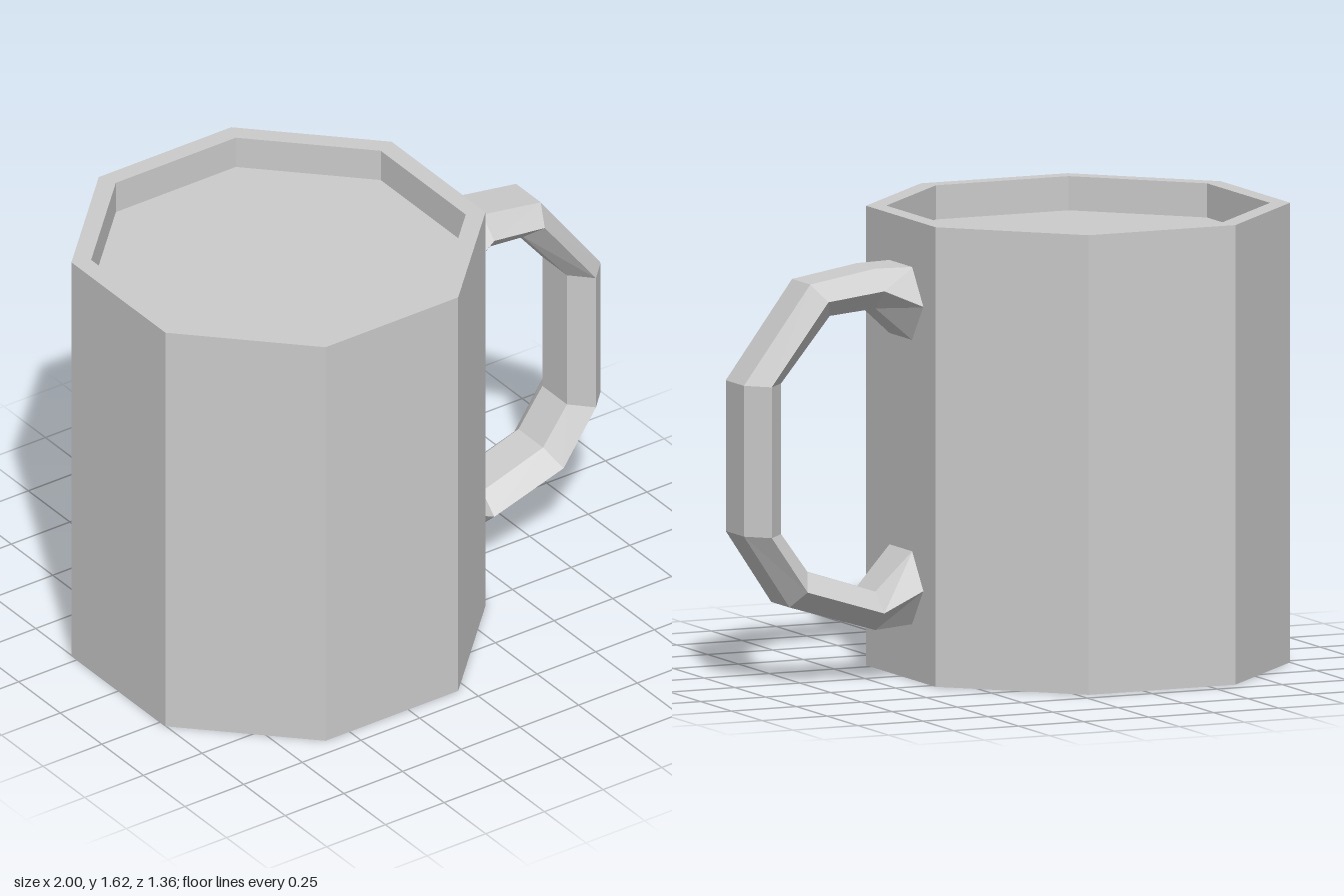
import * as THREE from 'three';

const CUP_X = -0.32, HEIGHT = 1.615, FILL_Y = 1.495;

// Corner radius of an octagon from the distance to its flat sides
const cornerRadius = (apothem) => apothem / Math.cos(Math.PI / 8);

// Skins hexagonal rings; each ring is [outer, middle, inner] as [x, y], plus a z half-width
function hexTube(rings) {
  const positions = [], index = [];
  for (const { outer, mid, inner, w } of rings) {
    const corners = [[outer, w / 2], [mid, w], [inner, w / 2], [inner, -w / 2], [mid, -w], [outer, -w / 2]];
    for (const [[x, y], z] of corners) positions.push(x, y, z);
  }
  for (let i = 0; i < rings.length - 1; i++) {
    for (let k = 0; k < 6; k++) {
      const a = i * 6 + k, b = i * 6 + (k + 1) % 6;
      index.push(a, b, a + 6, b, b + 6, a + 6);
    }
  }
  const geometry = new THREE.BufferGeometry();
  geometry.setAttribute('position', new THREE.Float32BufferAttribute(positions, 3));
  geometry.setIndex(index);
  geometry.computeVertexNormals();
  return geometry;
}

export function createModel() {
  const group = new THREE.Group();
  group.name = 'mug';
  const material = new THREE.MeshStandardMaterial({ color: 0xcccccc, flatShading: true });
  const add = (name, geometry) => {
    const mesh = new THREE.Mesh(geometry, material);
    mesh.name = name;
    group.add(mesh);
    return mesh;
  };

  // Octagonal cup: base, outer wall, rim and inner wall down to the drink
  const R = cornerRadius(0.682), r = cornerRadius(0.617);
  const profile = [[0, 0], [R, 0], [R, HEIGHT], [r, HEIGHT], [r, FILL_Y]]
    .map(([x, y]) => new THREE.Vector2(x, y));
  add('cup', new THREE.LatheGeometry(profile, 8, Math.PI / 8)).position.x = CUP_X;

  // Flat surface of the drink
  const drink = add('drinkSurface', new THREE.CircleGeometry(r, 8, Math.PI / 8));
  drink.rotation.x = -Math.PI / 2;
  drink.position.set(CUP_X, FILL_Y, 0);

  // Handle from the flared upper joint round to the flared lower joint
  add('handle', hexTube([
    { outer: [0.358, 1.45], mid: [0.358, 1.32], inner: [0.358, 1.19], w: 0.185 },
    { outer: [0.495, 1.45], mid: [0.495, 1.38], inner: [0.495, 1.31], w: 0.148 },
    { outer: [0.745, 1.41], mid: [0.71, 1.355], inner: [0.67, 1.295], w: 0.148 },
    { outer: [1, 1.07], mid: [0.928, 1.07], inner: [0.857, 1.07], w: 0.148 },
    { outer: [1, 0.54], mid: [0.928, 0.54], inner: [0.857, 0.54], w: 0.148 },
    { outer: [0.825, 0.28], mid: [0.79, 0.34], inner: [0.755, 0.4], w: 0.148 },
    { outer: [0.495, 0.18], mid: [0.495, 0.248], inner: [0.495, 0.315], w: 0.148 },
    { outer: [0.358, 0.195], mid: [0.358, 0.325], inner: [0.358, 0.455], w: 0.185 },
  ]));

  return group;
}
